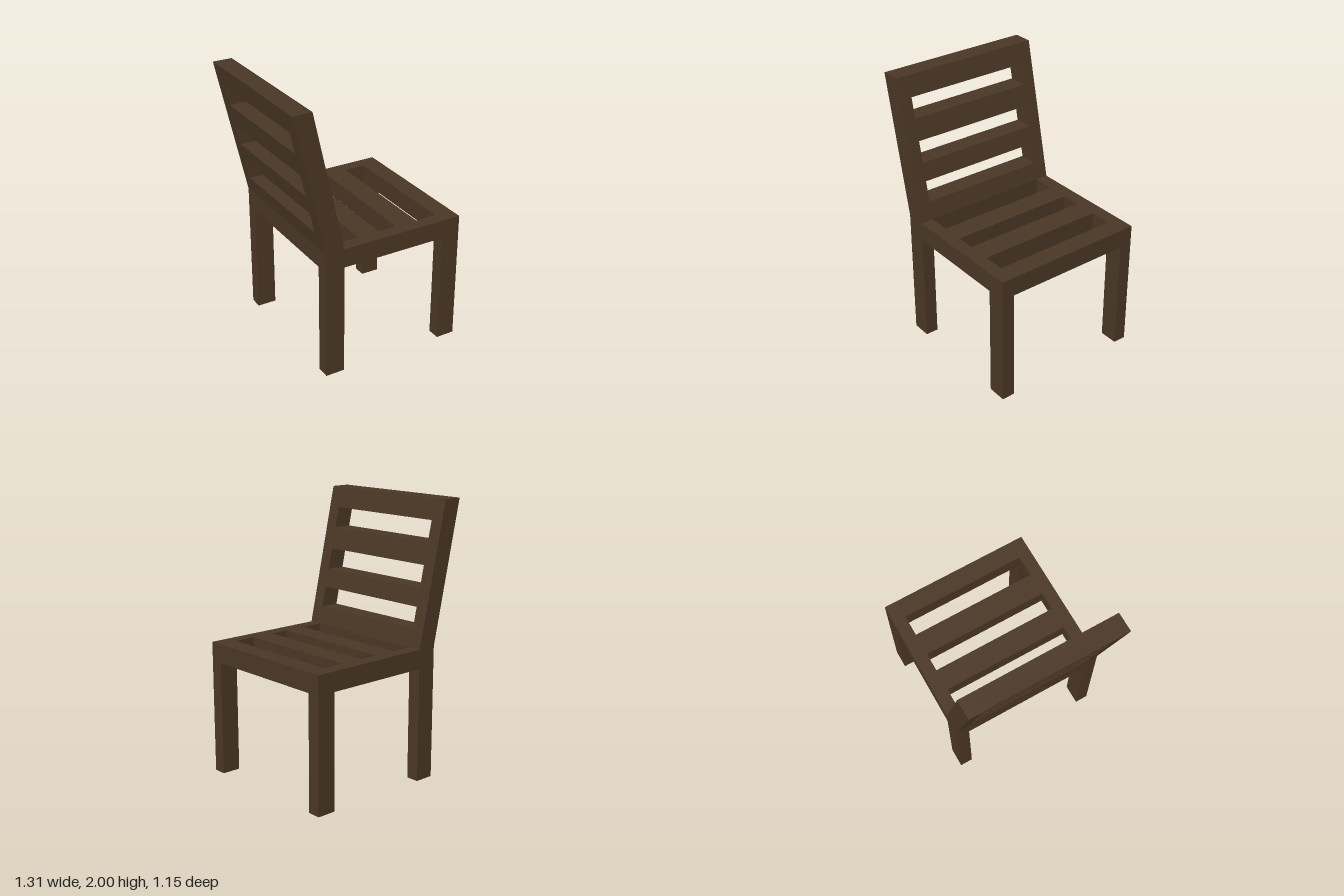
import * as THREE from 'three';

const OUTER = 0.573, INNER = 0.477;   // half depth of the chair, and of the openings
const SEAT = 0.975, UNDER = 0.835, TOP = 2;

export function createModel() {
  const chair = new THREE.Group();
  chair.name = 'chair';
  const wood = new THREE.MeshStandardMaterial({ color: 0x4a3725 });
  wood.name = 'dark wood';

  // extrude an x/y outline from z0 to z1
  const prism = (name, points, z0, z1) => {
    const shape = new THREE.Shape(points.map(([x, y]) => new THREE.Vector2(x, y)));
    const geo = new THREE.ExtrudeGeometry(shape, { depth: z1 - z0, bevelEnabled: false });
    geo.translate(0, 0, z0);
    const mesh = new THREE.Mesh(geo, wood);
    mesh.name = name;
    chair.add(mesh);
  };

  // side frames: rear leg, seat rail, front leg and leaning back post in one outline
  const side = [
    [-0.427, 0], [-0.283, 0], [-0.283, UNDER], [0.515, UNDER], [0.515, 0], [0.655, 0],
    [0.655, SEAT], [-0.283, SEAT], [-0.513, TOP], [-0.655, TOP], [-0.427, SEAT],
  ];
  prism('leftSideFrame', side, INNER, OUTER);
  prism('rightSideFrame', side, -OUTER, -INNER);

  // seat slats and end rails
  [[-0.427, -0.283], [-0.12, 0.045], [0.185, 0.355], [0.515, 0.655]].forEach(([a, b], i) =>
    prism(`seatSlat${i + 1}`, [[a, UNDER], [b, UNDER], [b, SEAT], [a, SEAT]], -INNER, INNER));

  // backrest slats follow the lean of the posts
  const lean = (x0, x1, y) => x0 + (x1 - x0) * (y - SEAT) / (TOP - SEAT);
  const rear = y => lean(-0.427, -0.655, y), front = y => lean(-0.283, -0.513, y);
  [[SEAT, 1.105], [1.255, 1.387], [1.543, 1.7], [1.85, TOP]].forEach(([a, b], i) =>
    prism(`backSlat${i + 1}`, [[rear(a), a], [front(a), a], [front(b), b], [rear(b), b]], -INNER, INNER));

  return chair;
}
